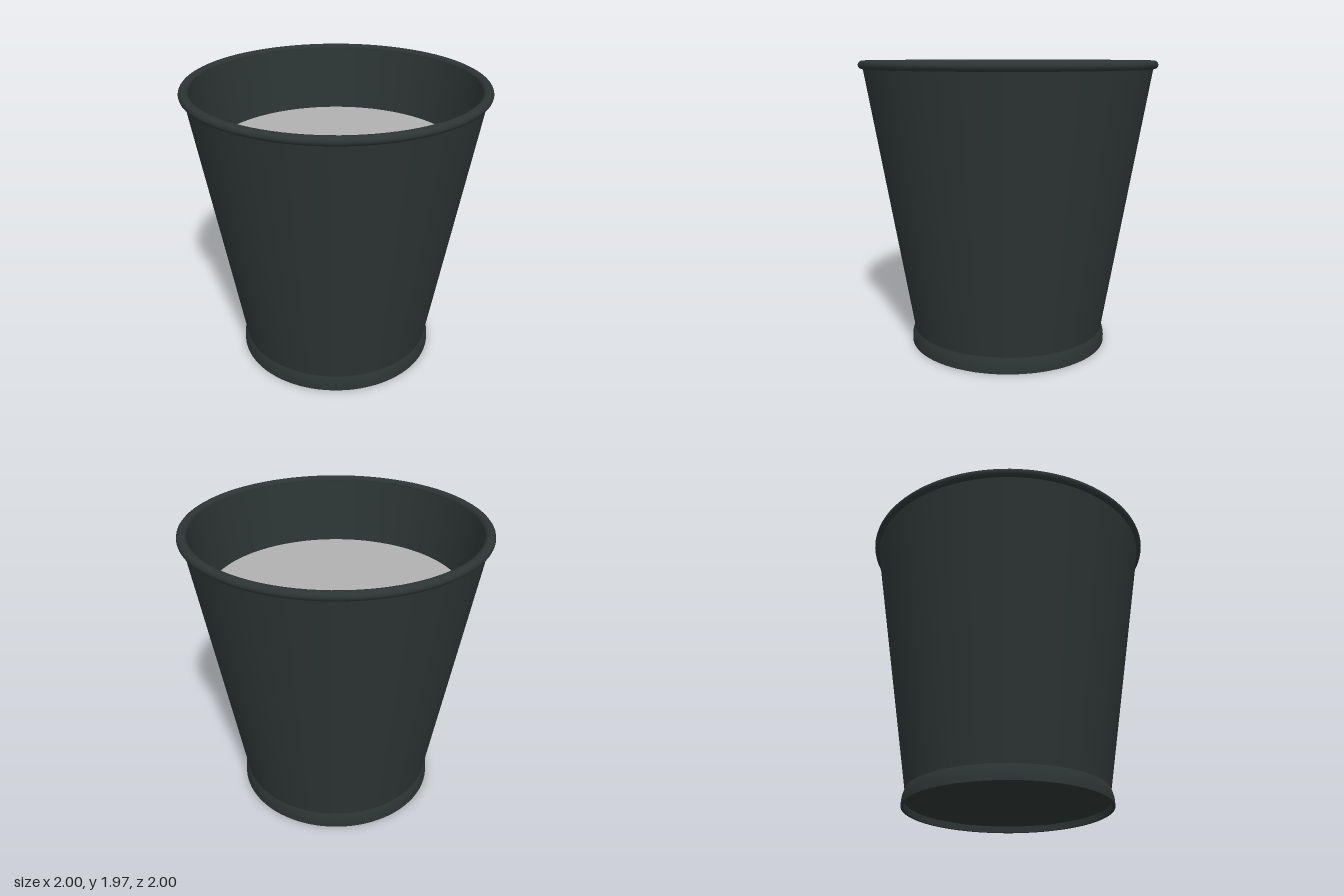
import * as THREE from 'three';

const SEGMENTS = 96;

export function createModel() {
  const group = new THREE.Group();
  group.name = 'cup';

  const shell = new THREE.MeshStandardMaterial({ color: 0x2c3534 });
  shell.name = 'dark green grey';
  const pale = new THREE.MeshStandardMaterial({ color: 0xb0b0b0 });
  pale.name = 'pale grey';

  const add = (name, geometry, material = shell) => {
    const mesh = new THREE.Mesh(geometry, material);
    mesh.name = name;
    group.add(mesh);
    return mesh;
  };
  // Profiles running upward face outward, downward ones face inward
  const lathe = (name, points) =>
    add(name, new THREE.LatheGeometry(points.map(([r, y]) => new THREE.Vector2(r, y)), SEGMENTS));
  const disc = (name, radius, y, up, material) => {
    const mesh = add(name, new THREE.CircleGeometry(radius, SEGMENTS), material);
    mesh.rotation.x = up ? -Math.PI / 2 : Math.PI / 2;
    mesh.position.y = y;
  };

  // Tapered wall, outside and inside
  lathe('outerWall', [[0.67, 0.1], [0.97, 1.92]]);
  lathe('innerWall', [[0.935, 1.94], [0.62, 0.09]]);

  // Rolled rim
  const rim = new THREE.TorusGeometry(0.967, 0.033, 16, SEGMENTS);
  rim.rotateX(Math.PI / 2);
  rim.scale(1, 0.86, 1);
  add('rim', rim).position.y = 1.937;

  // Foot band with a thin lip around a recessed base
  lathe('footBand', [[0.69, 0], [0.69, 0.03], [0.686, 0.06], [0.679, 0.085], [0.672, 0.105]]);
  lathe('footTop', [[0.672, 0.105], [0.665, 0.105]]);
  lathe('footLip', [[0.672, 0], [0.69, 0]]);
  lathe('footInside', [[0.672, 0.045], [0.672, 0]]);
  disc('base', 0.672, 0.045, false, shell);
  disc('floor', 0.62, 0.09, true, shell);

  // Contents
  disc('fillSurface', 0.86, 1.5, true, pale);

  return group;
}
